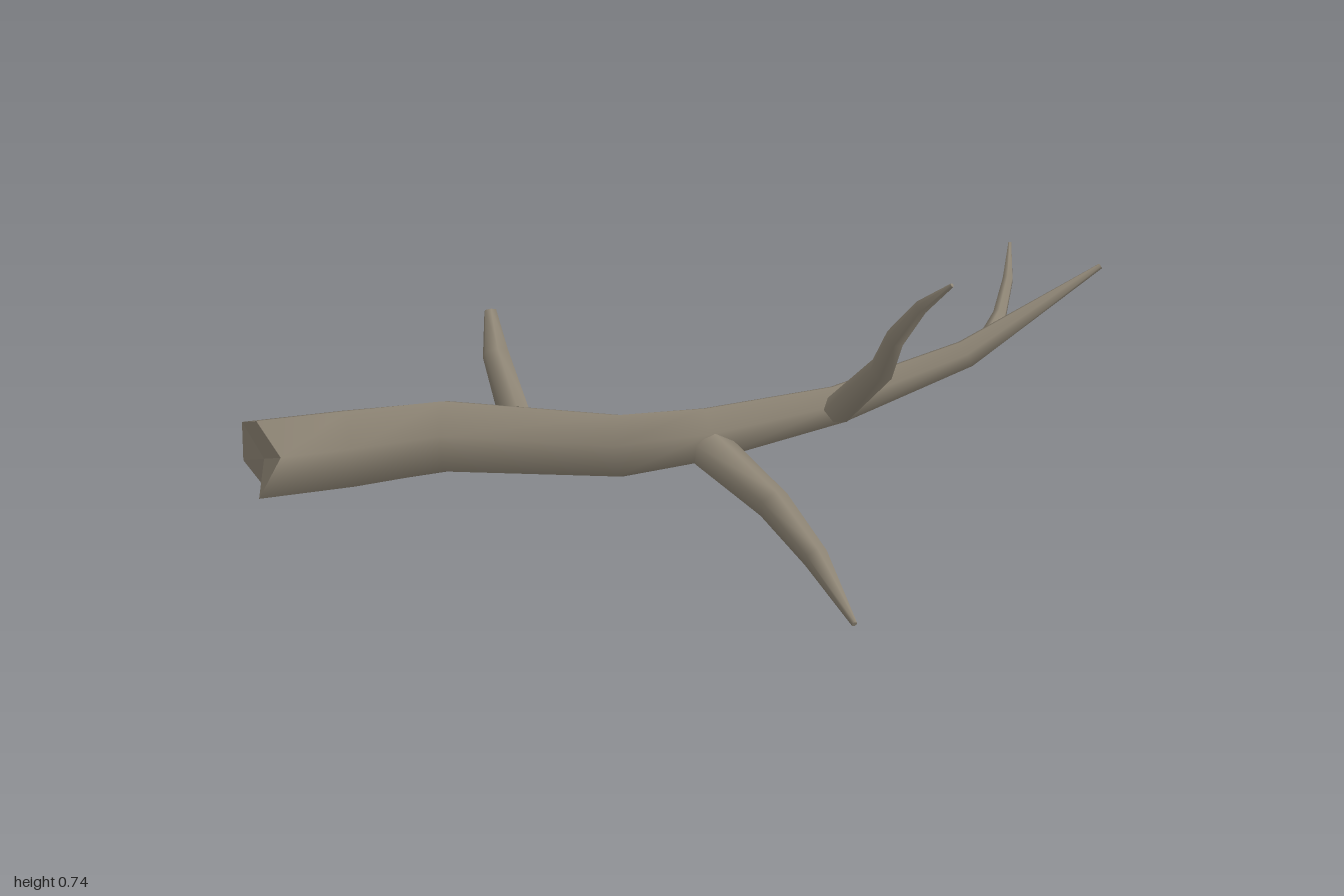
import * as THREE from 'three';

const SIDES = 6;

// Tapered limb: rings of six points along a path of [x, y, z, radius].
// jag shifts each point of the first ring along the limb; its last entry shifts the cap centre.
function limbGeometry(path, up, jag = [0, 0, 0, 0, 0, 0, 0]) {
  const centres = path.map(([x, y, z]) => new THREE.Vector3(x, y, z));
  const rings = path.map(([, , , r], i) => {
    const t = centres[Math.min(i + 1, path.length - 1)].clone()
      .sub(centres[Math.max(i - 1, 0)]).normalize();
    const n = up.clone().addScaledVector(t, -up.dot(t)).normalize();
    const b = new THREE.Vector3().crossVectors(t, n);
    return Array.from({ length: SIDES }, (_, j) => {
      const a = (j / SIDES) * Math.PI * 2;
      return centres[i].clone()
        .addScaledVector(n, r * Math.cos(a))
        .addScaledVector(b, r * Math.sin(a))
        .addScaledVector(t, i === 0 ? jag[j] : 0);
    });
  });

  const position = [];
  const index = [];
  const add = (p) => position.push(p.x, p.y, p.z) / 3 - 1;

  // Bark: shared points give smooth sides
  rings.forEach((ring) => ring.forEach(add));
  for (let i = 0; i < rings.length - 1; i++) {
    for (let j = 0; j < SIDES; j++) {
      const k = (j + 1) % SIDES;
      const a = i * SIDES + j, b = i * SIDES + k;
      index.push(a, b, a + SIDES, b, b + SIDES, a + SIDES);
    }
  }

  // Flat-faced caps at both ends
  const cap = (ring, centre, flip) => ring.forEach((p, j) => {
    const q = ring[(j + 1) % SIDES];
    const c = add(centre), first = add(flip ? q : p), second = add(flip ? p : q);
    index.push(c, first, second);
  });
  const inward = centres[1].clone().sub(centres[0]).normalize();
  cap(rings[0], centres[0].clone().addScaledVector(inward, jag[SIDES]), true);
  cap(rings[rings.length - 1], centres[centres.length - 1], false);

  const geometry = new THREE.BufferGeometry();
  geometry.setAttribute('position', new THREE.Float32BufferAttribute(position, 3));
  geometry.setIndex(index);
  geometry.computeVertexNormals();
  return geometry;
}

export function createModel() {
  const group = new THREE.Group();
  group.name = 'fallenBranch';
  const bark = new THREE.MeshStandardMaterial({ color: 0x8f8676 });
  bark.name = 'greyBark';

  const Y = new THREE.Vector3(0, 1, 0);
  const Z = new THREE.Vector3(0, 0, 1);
  const limb = (name, path, up, jag) => {
    const mesh = new THREE.Mesh(limbGeometry(path, up, jag), bark);
    mesh.name = name;
    group.add(mesh);
  };

  // Main stem with a splintered broken end
  limb('mainStem', [
    [-0.98, 0.105, -0.09, 0.105],
    [-0.77, 0.112, -0.13, 0.103],
    [-0.54, 0.13, -0.16, 0.095],
    [-0.13, 0.172, -0.05, 0.083],
    [0.08, 0.2, -0.06, 0.07],
    [0.38, 0.238, -0.135, 0.05],
    [0.68, 0.325, -0.225, 0.036],
    [0.995, 0.49, -0.355, 0.007],
  ], Y, [0, 0.04, -0.015, 0.03, -0.02, -0.02, 0.015]);

  // Short stub at the back
  limb('backStub', [
    [-0.38, 0.175, -0.19, 0.038],
    [-0.425, 0.265, -0.315, 0.032],
    [-0.438, 0.338, -0.39, 0.015],
  ], Y);

  // Long branch drooping to the front
  limb('frontBranch', [
    [0.085, 0.185, -0.015, 0.052],
    [0.235, 0.156, 0.19, 0.041],
    [0.335, 0.104, 0.345, 0.031],
    [0.428, 0.036, 0.535, 0.007],
  ], Y);

  // Crooked branch rising from the middle
  limb('upperBranch', [
    [0.38, 0.25, -0.09, 0.036],
    [0.487, 0.43, 0.025, 0.032],
    [0.518, 0.55, 0.085, 0.025],
    [0.58, 0.66, 0.126, 0.017],
    [0.653, 0.738, 0.156, 0.005],
  ], Z);

  // Thin twig near the tip, pointing back
  limb('tipTwig', [
    [0.72, 0.338, -0.235, 0.022],
    [0.758, 0.352, -0.36, 0.017],
    [0.776, 0.39, -0.46, 0.013],
    [0.78, 0.444, -0.538, 0.004],
  ], Y);

  return group;
}
